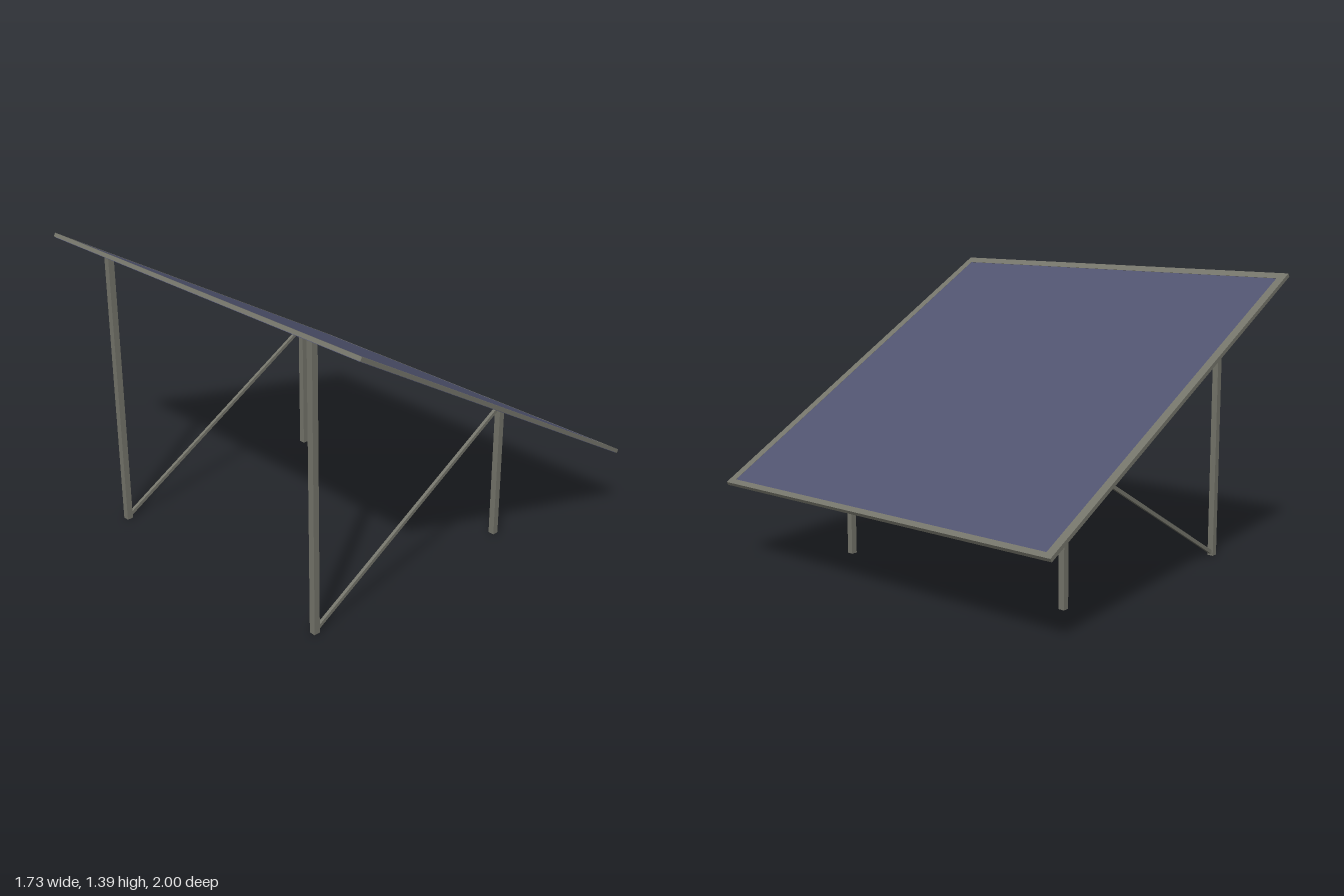
import * as THREE from 'three';

export function createModel() {
  const model = new THREE.Group();
  model.name = 'solarPanelStand';
  const metal = new THREE.MeshStandardMaterial({ color: 0x74746a });
  metal.name = 'grey metal';
  const blue = new THREE.MeshStandardMaterial({ color: 0x50536f });
  blue.name = 'panel blue';

  function box(name, parent, size, pos, material = metal) {
    const mesh = new THREE.Mesh(new THREE.BoxGeometry(...size), material);
    mesh.name = name;
    mesh.position.set(...pos);
    parent.add(mesh);
    return mesh;
  }

  // Tilted panel: rim, blue upper face and blue backing
  const panel = new THREE.Group();
  panel.name = 'tiltedPanel';
  panel.position.set(0, 0.889, 0);
  panel.rotation.z = -Math.PI / 6;
  model.add(panel);

  const outline = new THREE.Shape([
    new THREE.Vector2(-0.994, -1), new THREE.Vector2(0.994, -1),
    new THREE.Vector2(0.994, 1), new THREE.Vector2(-0.994, 1),
  ]);
  outline.holes.push(new THREE.Path([
    new THREE.Vector2(-0.95, -0.96), new THREE.Vector2(-0.95, 0.96),
    new THREE.Vector2(0.965, 0.96), new THREE.Vector2(0.965, -0.96),
  ]));
  const rimGeometry = new THREE.ExtrudeGeometry(outline, { depth: 0.018, bevelEnabled: false });
  rimGeometry.rotateX(-Math.PI / 2).translate(0, -0.009, 0);
  const rim = new THREE.Mesh(rimGeometry, metal);
  rim.name = 'panelFrame';
  panel.add(rim);
  box('panelFace', panel, [1.915, 0.014, 1.92], [0.0075, 0.001, 0], blue);
  box('panelBacking', panel, [1.976, 0.003, 1.988], [0, -0.0095, 0], blue);

  // Matching supports on both sides
  for (const side of [-1, 1]) {
    const support = new THREE.Group();
    support.name = side > 0 ? 'nearSupport' : 'farSupport';
    support.position.z = side * 0.668;
    model.add(support);
    box('tallLeg', support, [0.03, 1.345, 0.03], [-0.795, 0.6725, 0]);
    box('shortLeg', support, [0.03, 0.663, 0.03], [0.371, 0.3395, 0]);

    // Diagonal brace from the tall leg's foot to the short leg's top
    const dx = 1.15, dy = 0.665;
    const brace = box('diagonalBrace', support, [Math.hypot(dx, dy), 0.017, 0.015], [-0.212, 0.347, 0]);
    brace.rotation.z = Math.atan2(dy, dx);
  }
  return model;
}
